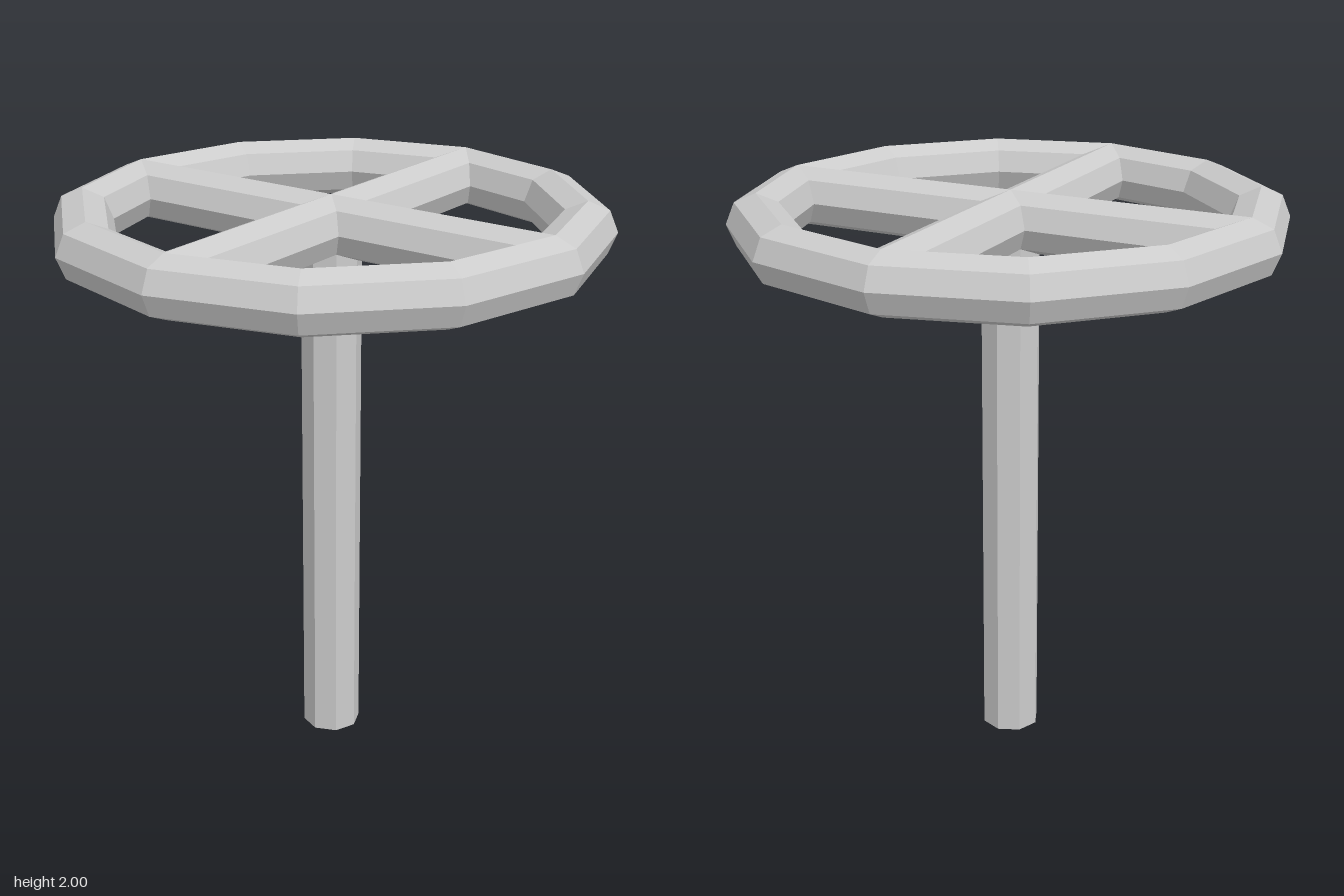
import * as THREE from 'three';

export function createModel() {
  const model = new THREE.Group();
  model.name = 'handwheel';
  const material = new THREE.MeshStandardMaterial({ color: 0xcccccc, flatShading: true });

  const tube = 0.103;            // radius of every octagonal bar
  const ring = 0.835;            // radius of the rim's centre line
  const wheelY = 2 - tube;       // height of the wheel's middle plane

  const add = (name, geometry, y) => {
    const mesh = new THREE.Mesh(geometry, material);
    mesh.name = name;
    mesh.position.y = y;
    model.add(mesh);
    return mesh;
  };

  // Twelve-sided rim with an octagonal section
  add('rim', new THREE.TorusGeometry(ring, tube, 8, 12).rotateX(Math.PI / 2), wheelY);

  // Two crossing bars form four spokes, mitred where they meet
  for (const [name, turn] of [['spokesSide', 0], ['spokesFrontBack', Math.PI / 2]]) {
    const bar = new THREE.CylinderGeometry(tube, tube, ring * 2, 8, 1, true).rotateZ(Math.PI / 2);
    add(name, bar, wheelY).rotation.y = turn;
  }

  // Octagonal post, ending inside the crossing of the spokes
  add('post', new THREE.CylinderGeometry(tube, tube, wheelY, 8), wheelY / 2);

  return model;
}
